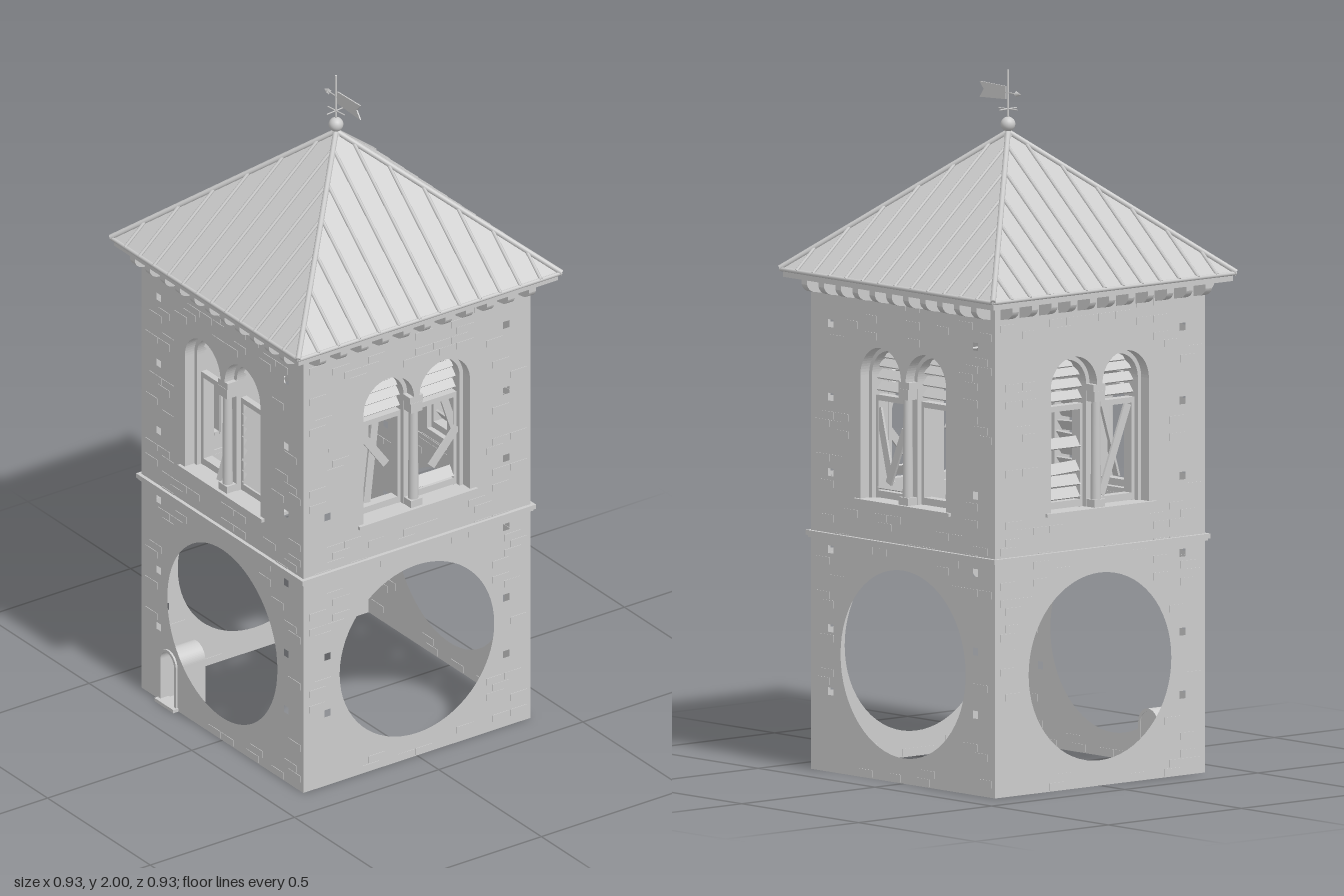
import * as THREE from 'three';
import { mergeGeometries } from 'three/addons/utils/BufferGeometryUtils.js';

const stone = new THREE.MeshStandardMaterial({ color: 0xcccccc, side: THREE.DoubleSide });
stone.name = 'pale grey';

const WALL = 0.394, EAVE = 0.457, EAVE_Y = 1.425, APEX_Y = 1.82;
const SILL = 0.79, SPRING = 1.145, ARCH_X = 0.097;

function add(parent, name, geometry, x = 0, y = 0, z = 0) {
  const mesh = new THREE.Mesh(geometry, stone);
  mesh.name = name;
  mesh.position.set(x, y, z);
  parent.add(mesh);
  return mesh;
}

function box(parent, name, w, h, d, x, y, z) {
  return add(parent, name, new THREE.BoxGeometry(w, h, d), x, y, z);
}

// round bar between two points
function rod(parent, name, a, b, r, sides = 8) {
  const from = new THREE.Vector3(...a), to = new THREE.Vector3(...b);
  const mesh = add(parent, name, new THREE.CylinderGeometry(r, r, from.distanceTo(to), sides));
  mesh.position.copy(from).lerp(to, 0.5);
  mesh.quaternion.setFromUnitVectors(new THREE.Vector3(0, 1, 0), to.sub(from).normalize());
  return mesh;
}

// flat board between two points in the plane of the window
function plank(parent, [x1, y1, x2, y2, z1, z2 = z1]) {
  const from = new THREE.Vector3(x1, y1, z1), to = new THREE.Vector3(x2, y2, z2);
  const mesh = box(parent, 'loosePlank', 0.024, from.distanceTo(to), 0.007, 0, 0, 0);
  mesh.position.copy(from).lerp(to, 0.5);
  mesh.quaternion.setFromUnitVectors(new THREE.Vector3(0, 1, 0), to.sub(from).normalize());
}

function extrude(shape, depth) {
  return new THREE.ExtrudeGeometry(shape, { depth, bevelEnabled: false, curveSegments: 16 });
}

function arch(target, cx, r, bottom, spring) {
  target.moveTo(cx - r, bottom);
  target.lineTo(cx - r, spring);
  target.absarc(cx, spring, r, Math.PI, 0, true);
  target.lineTo(cx + r, bottom);
  target.closePath();
  return target;
}

function twinArch(target, r, bottom = SILL) {
  target.moveTo(-ARCH_X - r, bottom);
  target.lineTo(-ARCH_X - r, SPRING);
  target.absarc(-ARCH_X, SPRING, r, Math.PI, 0, true);
  target.lineTo(ARCH_X - r, SPRING);
  target.absarc(ARCH_X, SPRING, r, Math.PI, 0, true);
  target.lineTo(ARCH_X + r, bottom);
  target.closePath();
  return target;
}

const HOLE_ROWS = [0.23, 0.41, 0.635, 0.855, 1.07, 1.28];

function buildWall(side, withDoor) {
  const shape = new THREE.Shape();
  shape.moveTo(-WALL, 0).lineTo(WALL, 0).lineTo(WALL, 1.41).lineTo(-WALL, 1.41).closePath();
  shape.holes.push(new THREE.Path().absarc(0, 0.34, 0.268, 0, Math.PI * 2));
  shape.holes.push(twinArch(new THREE.Path(), 0.0875));
  for (const y of HOLE_ROWS) for (const x of [-0.31, 0.31]) {
    const h = 0.011;
    shape.holes.push(new THREE.Path([[-h, -h], [h, -h], [h, h], [-h, h]]
      .map(([a, b]) => new THREE.Vector2(x + a, y + b))));
  }
  if (withDoor) shape.holes.push(arch(new THREE.Path(), -0.26, 0.036, 0.006, 0.135));
  add(side, 'wall', new THREE.ShapeGeometry(shape, 32), 0, 0, WALL);
}

// a scatter of slightly raised bricks, kept clear of the openings
function buildBricks(side, seed) {
  const random = () => (seed = (seed * 16807) % 2147483647) / 2147483647;
  const bricks = [];
  for (let row = 0; row < 56; row++) {
    const y = 0.0135 + row * 0.0245;
    for (let col = 0; col < 12; col++) {
      const x = -0.345 + col * 0.0615 + (row % 2) * 0.02;
      const nearCircle = Math.hypot(x, y - 0.34) < 0.315;
      const nearWindow = Math.abs(x) < 0.25 && y > 0.76 && y < 1.26;
      const nearHole = HOLE_ROWS.some(h => Math.abs(y - h) < 0.027) && Math.abs(Math.abs(x) - 0.31) < 0.05;
      const nearDoor = x < -0.17 && y < 0.2;
      if (random() > 0.3 || nearCircle || nearWindow || nearHole || nearDoor) continue;
      bricks.push(new THREE.BoxGeometry(0.058, 0.021, 0.003).translate(x, y, WALL));
    }
  }
  add(side, 'raisedBricks', mergeGeometries(bricks));
}

// louvre rows kept and loose planks for the left and right openings of each side
const WINDOWS = [
  { rows: [[], [0, 1, 2, 3, 4, 5, 6]], planks: [[-0.032, 0.81, -0.032, 1.07, 0.38, 0.30]] },
  { rows: [[], [0]], planks: [[-0.165, 1.06, -0.07, 0.93, 0.34], [-0.10, 1.08, -0.13, 0.82, 0.33],
    [0.13, 1.08, 0.17, 0.96, 0.34], [0.17, 0.98, 0.08, 0.88, 0.35]] },
  { rows: [[0], []], planks: [[-0.165, 1.05, -0.11, 0.84, 0.34], [-0.11, 0.84, -0.04, 1.0, 0.35]] },
  { rows: [[0, 1, 2, 4], []], planks: [[0.05, 0.82, 0.15, 1.07, 0.34]] },
];

function buildWindow(side, { rows, planks }) {
  const lining = twinArch(new THREE.Shape(), 0.0925, SILL - 0.004);
  lining.holes.push(twinArch(new THREE.Path(), 0.0875));
  add(side, 'windowLining', extrude(lining, 0.091), 0, 0, 0.302);

  const inner = twinArch(new THREE.Shape(), 0.088);
  for (const s of [-1, 1]) inner.holes.push(arch(new THREE.Path(), s * ARCH_X, 0.075, SILL + 0.004, SPRING));
  add(side, 'innerArches', extrude(inner, 0.06), 0, 0, 0.30);

  box(side, 'windowSill', 0.41, 0.01, 0.10, 0, 0.789, 0.354);
  add(side, 'column', new THREE.CylinderGeometry(0.013, 0.015, 0.28, 12), 0, 0.955, 0.376);
  box(side, 'columnBase', 0.04, 0.022, 0.034, 0, 0.805, 0.376);
  box(side, 'columnCapital', 0.04, 0.03, 0.034, 0, 1.11, 0.376);
  box(side, 'columnAbacus', 0.046, 0.02, 0.036, 0, 1.135, 0.374);

  [-1, 1].forEach((s, i) => {
    const cx = s * ARCH_X;
    for (const e of [-1, 1]) box(side, 'frameStile', 0.012, 0.29, 0.03, cx + e * 0.07, 0.935, 0.33);
    box(side, 'frameBottomRail', 0.15, 0.02, 0.03, cx, 0.805, 0.33);
    box(side, 'frameTransom', 0.15, 0.016, 0.03, cx, 1.08, 0.33);
    // louvres in the arch head, shortened to follow the curve
    for (const y of [1.112, 1.146, 1.18, 1.207]) {
      const rise = Math.max(0, y - SPRING);
      const slat = box(side, 'archLouvre', 2 * Math.sqrt(0.0056 - rise * rise), 0.03, 0.006, cx, y, 0.33);
      slat.rotation.x = -0.7;
    }
    for (const n of rows[i]) {
      const slat = box(side, 'louvre', 0.135, 0.034, 0.006, cx, 0.835 + n * 0.036, 0.335);
      slat.rotation.set(-0.6, 0, n === 3 ? -0.07 : n === 2 ? 0.05 : 0);
    }
  });
  planks.forEach(p => plank(side, p));
}

function buildEaves(side) {
  const profile = new THREE.Shape();
  profile.moveTo(0.39, 1.408).lineTo(0.447, 1.408).lineTo(0.447, 1.39);
  profile.quadraticCurveTo(0.44, 1.368, 0.41, 1.366);
  profile.lineTo(0.39, 1.362).closePath();
  for (let i = -5; i <= 5; i++) {
    const corbel = add(side, 'corbel', extrude(profile, 0.024), i * 0.0725 + 0.012, 0, 0);
    corbel.rotation.y = -Math.PI / 2;
  }
  rod(side, 'eaveRoll', [-EAVE, EAVE_Y, EAVE - 0.003], [EAVE, EAVE_Y, EAVE - 0.003], 0.006);

  // standing seams, each running from the eave to the hip
  const roofY = d => APEX_Y - (APEX_Y - EAVE_Y) * d / EAVE;
  for (let i = 0; i < 6; i++) for (const s of [-1, 1]) {
    const x = 0.035 + i * 0.07;
    rod(side, 'roofSeam', [s * x, roofY(EAVE) + 0.003, EAVE], [s * x, roofY(x) + 0.003, x], 0.005, 6);
  }
  rod(side, 'hipRoll', [EAVE, EAVE_Y + 0.003, EAVE], [0, APEX_Y + 0.003, 0], 0.008);
}

function buildDoor(parent) {
  const door = new THREE.Group();
  door.name = 'door';
  parent.add(door);
  const frame = arch(new THREE.Shape(), -0.26, 0.042, 0, 0.135);
  frame.holes.push(arch(new THREE.Path(), -0.26, 0.033, 0.006, 0.135));
  add(door, 'doorSurround', extrude(frame, 0.102), 0, 0, 0.298);
  add(door, 'doorLeaf', extrude(arch(new THREE.Shape(), -0.26, 0.04, 0.002, 0.135), 0.008), 0, 0, 0.30);
  box(door, 'doorstep', 0.092, 0.01, 0.04, -0.26, 0.005, 0.392);
}

function buildVane(parent) {
  const vane = new THREE.Group();
  vane.name = 'weatherVane';
  parent.add(vane);
  add(vane, 'finialBall', new THREE.SphereGeometry(0.021, 20, 14), 0, 1.845, 0);
  add(vane, 'finialCollar', new THREE.CylinderGeometry(0.008, 0.014, 0.02, 12), 0, 1.822, 0);
  rod(vane, 'mast', [0, 1.82, 0], [0, 2, 0], 0.0035);
  rod(vane, 'crossArmX', [-0.035, 1.888, 0.004], [0.035, 1.888, -0.004], 0.002, 6);
  rod(vane, 'crossArmZ', [-0.004, 1.888, -0.035], [0.004, 1.888, 0.035], 0.002, 6);
  rod(vane, 'pointerBar', [-0.05, 1.934, 0], [0.02, 1.934, 0], 0.002, 6);
  const tip = add(vane, 'pointerTip', new THREE.ConeGeometry(0.009, 0.022, 4), -0.046, 1.934, 0);
  tip.rotation.z = Math.PI / 2;
  const flag = new THREE.Shape();
  flag.moveTo(0.008, 1.915).lineTo(0.12, 1.91).lineTo(0.102, 1.934).lineTo(0.12, 1.955).lineTo(0.008, 1.952).closePath();
  add(vane, 'pennant', extrude(flag, 0.004), 0, 0, -0.002);
}

export function createModel() {
  const tower = new THREE.Group();
  tower.name = 'bellTower';

  ['front', 'left', 'back', 'right'].forEach((name, i) => {
    const side = new THREE.Group();
    side.name = name + 'Side';
    side.rotation.y = i * Math.PI / 2;
    tower.add(side);
    buildWall(side, i === 0);
    buildBricks(side, 1234 + i * 977);
    buildWindow(side, WINDOWS[i]);
    box(side, 'stringCourse', 0.81, 0.014, 0.014, 0, 0.675, 0.398);
    box(side, 'stringCourseLip', 0.80, 0.006, 0.01, 0, 0.665, 0.395);
    buildEaves(side);
  });
  buildDoor(tower);

  // roof over a closed soffit slab
  box(tower, 'soffit', 0.90, 0.022, 0.90, 0, 1.414, 0);
  const roof = new THREE.ConeGeometry(EAVE * Math.SQRT2, APEX_Y - EAVE_Y, 4, 1).rotateY(Math.PI / 4).toNonIndexed();
  roof.computeVertexNormals();
  add(tower, 'roof', roof, 0, (APEX_Y + EAVE_Y) / 2, 0);
  buildVane(tower);
  return tower;
}
